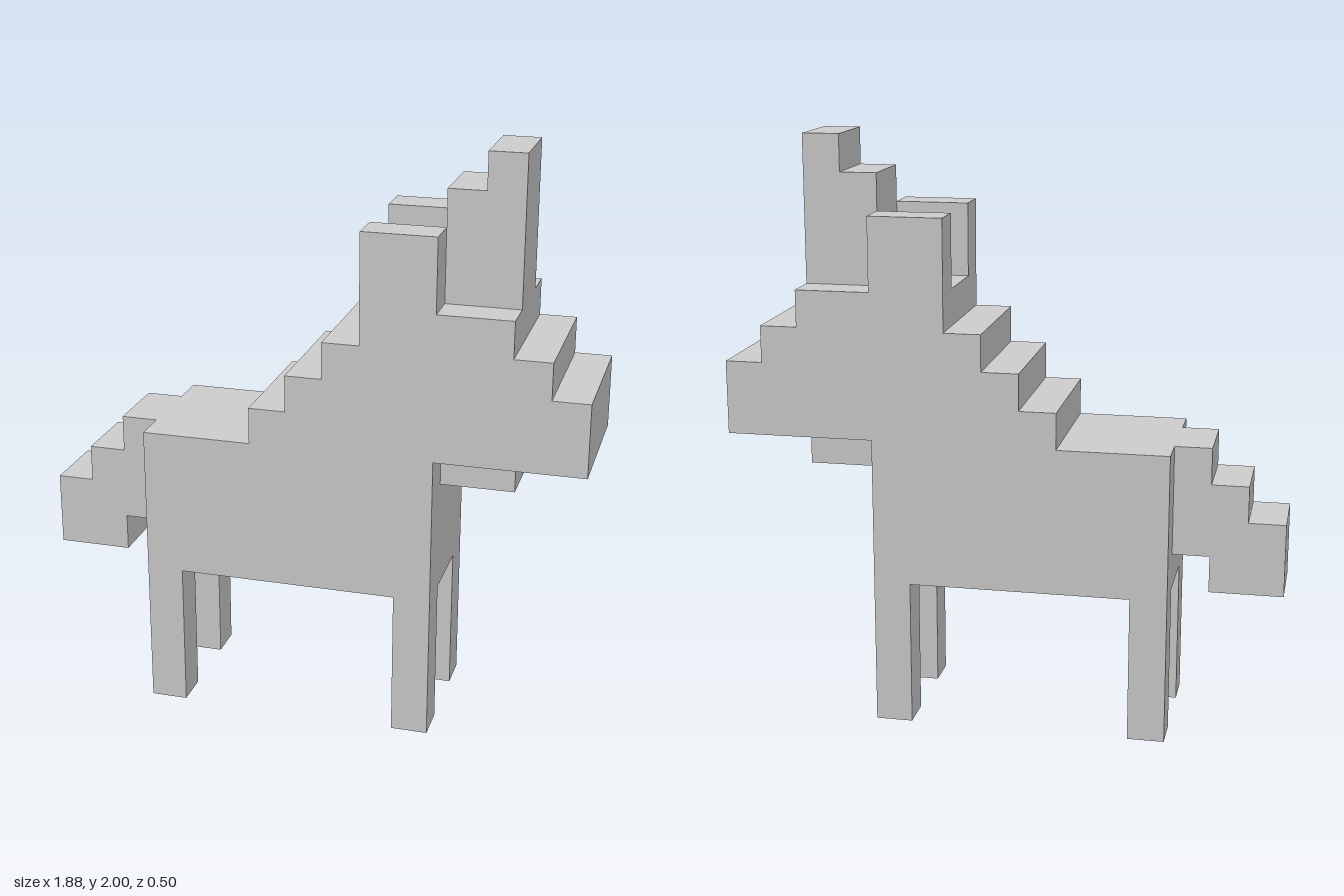
import * as THREE from 'three';

const U = 0.125; // voxel size
const X0 = -0.9375; // tail tip

export function createModel() {
  const group = new THREE.Group();
  const material = new THREE.MeshStandardMaterial({ color: 0xcccccc, flatShading: true });

  // Side outline in voxel units, extruded across z from z0 to z1
  function slab(name, outline, z0, z1) {
    const shape = new THREE.Shape(outline.map(([x, y]) => new THREE.Vector2(X0 + x * U, y * U)));
    const geometry = new THREE.ExtrudeGeometry(shape, { depth: (z1 - z0) * U, bevelEnabled: false });
    geometry.translate(0, 0, z0 * U);
    const mesh = new THREE.Mesh(geometry, material);
    mesh.name = name;
    group.add(mesh);
  }
  const rect = (x0, y0, x1, y1) => [[x0, y0], [x1, y0], [x1, y1], [x0, y1]];

  // Body, stepped neck, head and snout share one full-width outline
  slab('bodyNeckAndHead', [
    [3, 4], [11, 4], [11, 8], [15, 8], [15, 10], [14, 10], [14, 11], [13, 11], [13, 12],
    [9, 12], [9, 11], [8, 11], [8, 10], [7, 10], [7, 9], [6, 9], [6, 8], [3, 8],
  ], -2, 2);

  // Stepped tail
  slab('tail', [
    [0, 4], [2, 4], [2, 5], [3, 5], [3, 8], [2, 8], [2, 7], [1, 7], [1, 6], [0, 6],
  ], -1, 1);

  // Crest rising between the ears to the forehead peak
  slab('crest', [
    [10, 12], [13, 12], [13, 16], [12, 16], [12, 15], [11, 15], [11, 13], [10, 13],
  ], -1, 1);

  slab('chin', rect(11, 7, 13, 8), -1, 1);

  // Paired ears and legs
  for (const [side, z] of [['Near', 1], ['Far', -2]]) {
    slab('ear' + side, rect(9, 12, 11, 14), z, z + 1);
    slab('frontLeg' + side, rect(10, 0, 11, 4), z, z + 1);
    slab('hindLeg' + side, rect(3, 0, 4, 4), z, z + 1);
  }
  return group;
}
